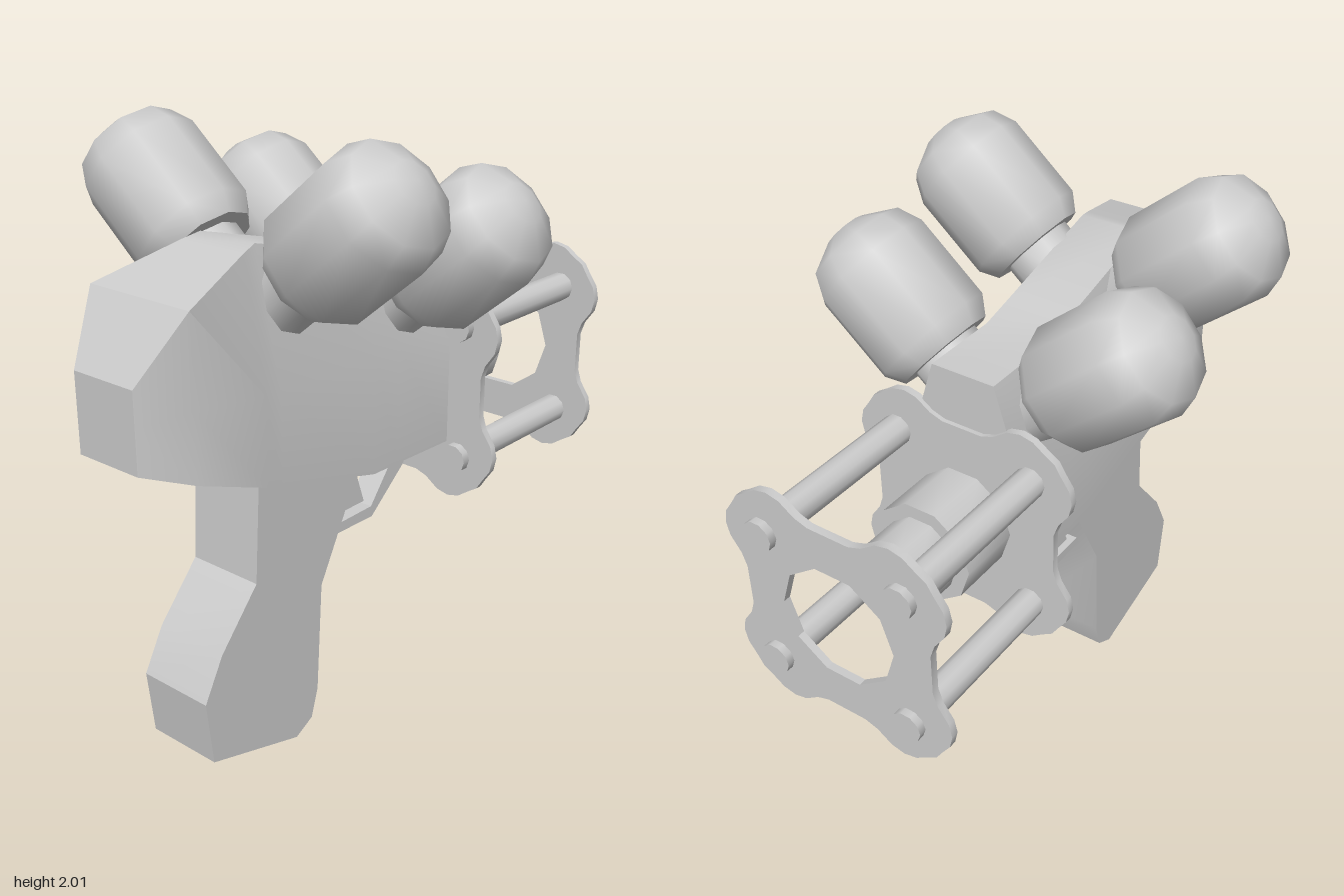
import * as THREE from 'three';
import { toCreasedNormals } from 'three/addons/utils/BufferGeometryUtils.js';

const material = new THREE.MeshStandardMaterial({ color: 0xcccccc });
const AXIS_Y = 1.05; // height of the barrel axis

function part(parent, name, geometry, crease = 0.7) {
  const mesh = new THREE.Mesh(toCreasedNormals(geometry, crease), material);
  mesh.name = name;
  parent.add(mesh);
  return mesh;
}

// Flat outline in x and y, extruded between two z values
function slab(points, z0, z1) {
  const shape = new THREE.Shape(points.map(([x, y]) => new THREE.Vector2(x, y)));
  return new THREE.ExtrudeGeometry(shape, { depth: z1 - z0, bevelEnabled: false }).translate(0, 0, z0);
}

function lathe(points, sides) {
  return new THREE.LatheGeometry(points.map(([r, y]) => new THREE.Vector2(r, y)), sides);
}

// Hull lofted from six-sided sections along x
function bodyGeometry() {
  // x, top y, top half width, shoulder y, half width, bottom y
  const rings = [
    [-0.98, 1.40, 0.12, 1.28, 0.12, 1.15],
    [-0.84, 1.60, 0.20, 1.32, 0.20, 1.10],
    [-0.56, 1.685, 0.125, 1.28, 0.20, 0.995],
    [-0.50, 1.70, 0.11, 1.27, 0.20, 0.98],
    [-0.07, 1.59, 0.11, 1.27, 0.20, 0.87],
    [0.05, 1.56, 0.11, 1.27, 0.20, 0.868],
    [0.33, 1.56, 0.11, 1.27, 0.20, 0.86],
  ];
  const pos = [];
  const index = [];
  for (const [x, top, wt, mid, w, bot] of rings) {
    pos.push(x, top, wt, x, mid, w, x, bot, w, x, bot, -w, x, mid, -w, x, top, -wt);
  }
  const last = (rings.length - 1) * 6;
  for (let i = 0; i < last; i += 6) {
    for (let j = 0; j < 6; j++) {
      const a = i + j, b = i + (j + 1) % 6;
      index.push(a, b, b + 6, a, b + 6, a + 6);
    }
  }
  for (let j = 1; j < 5; j++) {
    index.push(0, j + 1, j, last, last + j, last + j + 1);
  }
  const g = new THREE.BufferGeometry();
  g.setAttribute('position', new THREE.Float32BufferAttribute(pos, 3));
  g.setIndex(index);
  return g;
}

// Four-lobed plate facing +x, optionally with a ten-sided hole
function plateGeometry(hole) {
  const half = [[0.33, 0.07], [0.345, 0.115], [0.38, 0.165], [0.39, 0.21], [0.38, 0.255]];
  const quarter = [[0.33, -0.07], ...half, [0.352, 0.295], [0.33, 0.33], [0.295, 0.352],
    ...half.slice(1).reverse().map(([u, v]) => [v, u])];
  const outline = [];
  for (let k = 0; k < 4; k++) {
    const c = [1, 0, -1, 0][k], s = [0, 1, 0, -1][k];
    for (const [u, v] of quarter) outline.push(new THREE.Vector2(u * c - v * s, u * s + v * c));
  }
  const shape = new THREE.Shape(outline);
  if (hole) {
    const ring = [];
    for (let i = 0; i < 10; i++) {
      const a = -i * Math.PI / 5;
      ring.push(new THREE.Vector2(0.2 * Math.cos(a), 0.2 * Math.sin(a)));
    }
    shape.holes.push(new THREE.Path(ring));
  }
  return new THREE.ExtrudeGeometry(shape, { depth: 0.025, bevelEnabled: false }).rotateY(Math.PI / 2);
}

export function createModel() {
  const model = new THREE.Group();
  model.name = 'toyBlaster';

  part(model, 'body', bodyGeometry(), 0.55);

  // Grip, trigger and trigger guard
  part(model, 'grip', slab([
    [-0.53, 1.05], [-0.555, 0.65], [-0.71, 0.47], [-0.785, 0.33], [-0.76, 0.11],
    [-0.385, 0.0], [-0.31, 0.04], [-0.28, 0.14], [-0.257, 0.52], [-0.07, 0.875], [-0.07, 1.05],
  ], -0.135, 0.135), 0.5);
  part(model, 'trigger', slab([
    [-0.05, 0.9], [-0.055, 0.84], [-0.14, 0.655], [0.1, 0.655], [0.06, 0.77], [0.065, 0.9],
  ], -0.08, 0.015), 0.3);
  part(model, 'triggerGuard', slab([
    [-0.23, 0.585], [0.145, 0.58], [0.33, 0.735], [0.33, 0.86], [0.14, 0.62], [-0.21, 0.615],
  ], -0.08, 0.015), 0.3);

  // Stepped barrel with a shallow bore
  const barrel = part(model, 'barrel', lathe([
    [0.173, 0.33], [0.173, 0.56], [0.128, 0.56], [0.128, 0.725], [0.095, 0.725], [0.095, 0.66], [0, 0.66],
  ], 10));
  barrel.rotation.z = -Math.PI / 2;
  barrel.position.y = AXIS_Y;

  // Plates joined by four rods
  part(model, 'rearPlate', plateGeometry(false), 0.6).position.set(0.32, AXIS_Y, 0);
  part(model, 'frontPlate', plateGeometry(true), 0.6).position.set(0.925, AXIS_Y, 0);
  for (const sy of [-1, 1]) {
    for (const sz of [-1, 1]) {
      const rod = part(model, 'rod', new THREE.CylinderGeometry(0.051, 0.051, 0.685, 10), 0.8);
      rod.rotation.z = -Math.PI / 2;
      rod.position.set(0.6325, AXIS_Y + sy * 0.235, sz * 0.245);
    }
  }

  // Two mirrored pairs of slanted canisters on short necks
  for (const [x, y] of [[-0.385, 1.609], [0.13, 1.469]]) {
    for (const side of [-1, 1]) {
      const canister = new THREE.Group();
      canister.name = 'canister';
      part(canister, 'tank', lathe([
        [0, 0], [0.165, 0], [0.203, 0.06], [0.203, 0.35], [0.17, 0.425], [0.07, 0.48], [0, 0.492],
      ], 10), 0.85);
      part(canister, 'neck', lathe([[0, -0.2], [0.12, -0.2], [0.12, 0.02]], 10));
      canister.rotation.x = side * THREE.MathUtils.degToRad(50.2);
      canister.position.set(x, y, side * 0.212);
      model.add(canister);
    }
  }
  return model;
}
